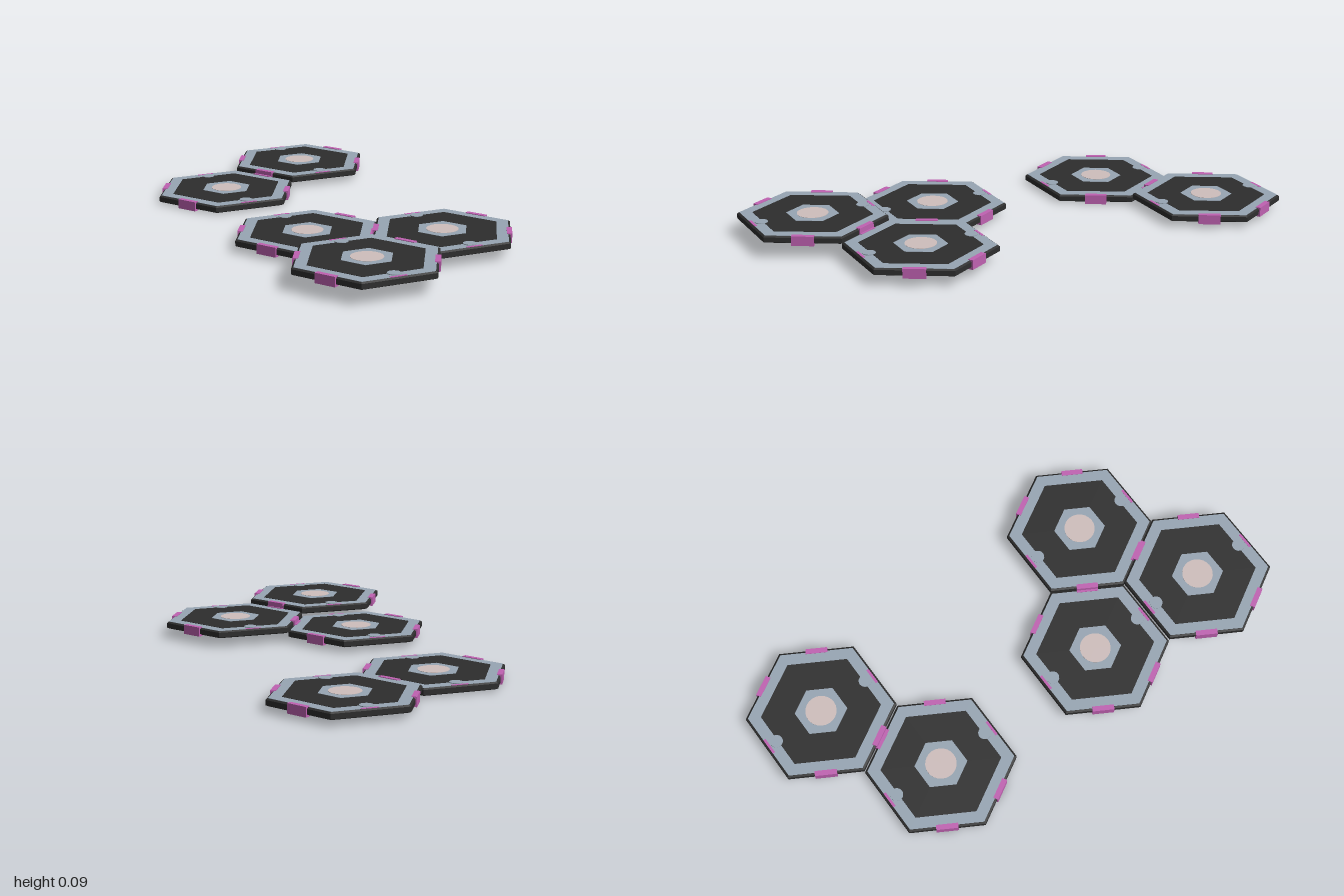
import * as THREE from 'three';

const mat = (name, color, flatShading = true) => {
  const m = new THREE.MeshStandardMaterial({ color, flatShading });
  m.name = name;
  return m;
};

export function createModel() {
  const dark = mat('charcoal', 0x2e2e2e);
  const grey = mat('blue grey', 0x98a6b4);
  const pale = mat('pale rose', 0xcfbfbd);
  const clipMat = mat('orchid', 0xc062b2);
  const under = mat('underside grey', 0x46463e);
  const underPale = mat('underside taupe', 0xa3968f);

  const add = (parent, name, geo, material, x = 0, y = 0, z = 0) => {
    const m = new THREE.Mesh(geo, material);
    m.name = name;
    m.position.set(x, y, z);
    parent.add(m);
    return m;
  };
  // Hexagonal plate with corners on the x axis
  const hex = (r, h) => new THREE.CylinderGeometry(r, r, h, 6).rotateY(Math.PI / 6);

  // Bevelled hexagonal body, open at top and bottom where the plates close it
  const profile = [[0, 0], [0.276, 0], [0.2887, 0.005], [0.2887, 0.024], [0.281, 0.029], [0, 0.029]]
    .map(([x, y]) => new THREE.Vector2(x, y));
  const bodyGeo = new THREE.LatheGeometry(profile, 6, Math.PI / 6);
  const rimGeo = hex(0.28, 0.002);
  const panelGeo = hex(0.23, 0.002);
  const hubGeo = hex(0.101, 0.002);
  const discGeo = new THREE.CylinderGeometry(0.06, 0.06, 0.002, 24);
  const studGeo = new THREE.CylinderGeometry(0.025, 0.025, 0.004, 16);
  const underGeo = hex(0.274, 0.001);
  const underHubGeo = hex(0.125, 0.001);
  const clipGeo = new THREE.BoxGeometry(0.02, 0.037, 0.084);
  const markGeo = new THREE.BoxGeometry(0.065, 0.002, 0.01);

  function makeTile() {
    const t = new THREE.Group();
    t.name = 'hexTile';
    add(t, 'body', bodyGeo, dark, 0, 0.005, 0);
    add(t, 'rim', rimGeo, grey, 0, 0.0338, 0);
    add(t, 'topPanel', panelGeo, dark, 0, 0.0348, 0);
    add(t, 'hub', hubGeo, grey, 0, 0.0358, 0);
    add(t, 'centreDisc', discGeo, pale, 0, 0.0368, 0);
    add(t, 'underPlate', underGeo, under, 0, 0.005, 0);
    add(t, 'underHub', underHubGeo, underPale, 0, 0.0042, 0);
    for (const s of [1, -1]) {
      // Studs and small marks on the front and back edges
      add(t, 'stud', studGeo, grey, 0, 0.0355, s * 0.205);
      add(t, 'edgeMark', markGeo, clipMat, 0, 0.0345, s * 0.238);
      // Connector clips on the four slanted edges
      for (const a of [30, 150]) {
        const r = THREE.MathUtils.degToRad(a * s);
        const c = add(t, 'clip', clipGeo, clipMat, Math.cos(r) * 0.246, 0.0185, Math.sin(r) * 0.246);
        c.rotation.y = -r;
      }
    }
    return t;
  }

  // Tile positions: x, y, z
  const model = new THREE.Group();
  model.name = 'hexTileSet';
  const places = [
    [0.21, 0.016, -0.75],
    [-0.228, 0, -0.5],
    [-0.207, 0.016, 0.25],
    [0.226, 0.0325, 0.5],
    [-0.207, 0.052, 0.75],
  ];
  for (const p of places) {
    const t = makeTile();
    t.position.set(...p);
    model.add(t);
  }
  return model;
}
